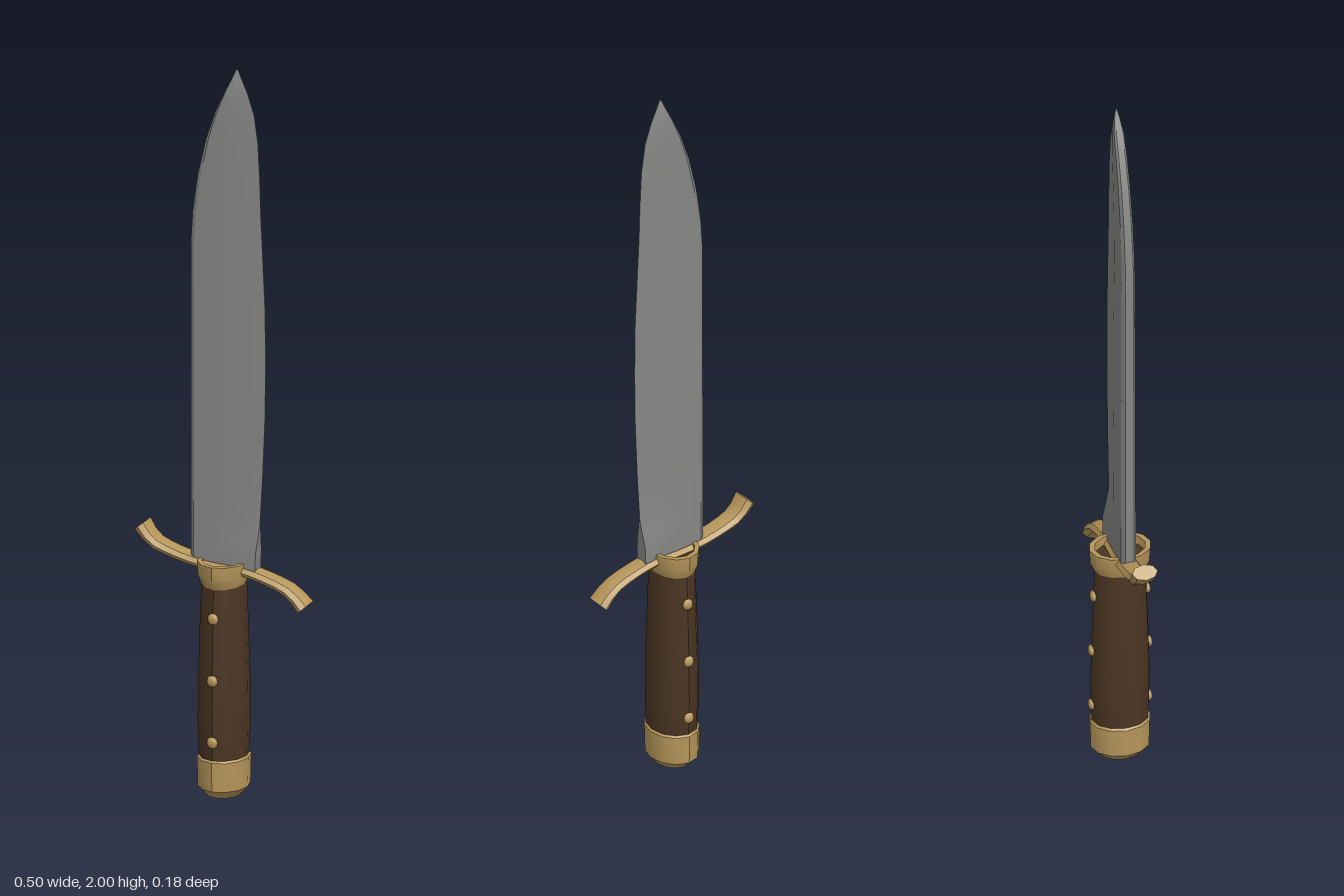
import * as THREE from 'three';
import { toCreasedNormals } from 'three/addons/utils/BufferGeometryUtils.js';

const steel = new THREE.MeshStandardMaterial({ color: 0x868685 });
steel.name = 'steel';
const brass = new THREE.MeshStandardMaterial({ color: 0xb6965a });
brass.name = 'brass';
const wood = new THREE.MeshStandardMaterial({ color: 0x4a3522 });
wood.name = 'dark wood';

// Skin a list of equal-length rings and cap both ends
function loft(rings, crease) {
  const n = rings[0].length, last = (rings.length - 1) * n, index = [];
  for (let i = 0; i < rings.length - 1; i++) {
    for (let j = 0; j < n; j++) {
      const a = i * n + j, b = i * n + (j + 1) % n;
      index.push(a, b, b + n, a, b + n, a + n);
    }
  }
  for (let j = 1; j < n - 1; j++) {
    index.push(0, j + 1, j, last, last + j, last + j + 1);
  }
  const g = new THREE.BufferGeometry();
  g.setAttribute('position', new THREE.Float32BufferAttribute(rings.flat(2), 3));
  g.setIndex(index);
  return toCreasedNormals(g, crease);
}

// Turned profile flattened into an oval, longer along z
function oval(profile, stretch) {
  const g = new THREE.LatheGeometry(profile.map(p => new THREE.Vector2(...p)), 12);
  g.scale(1, 1, stretch);
  return toCreasedNormals(g, 0.6);
}

function add(group, name, geometry, material) {
  const mesh = new THREE.Mesh(geometry, material);
  mesh.name = name;
  group.add(mesh);
  return mesh;
}

export function createModel() {
  const group = new THREE.Group();
  group.name = 'knife';

  // Blade rows: y, spine x, cutting edge x, half thickness, edge half thickness
  const rows = [
    [0.62, -0.09, 0.096, 0.02, 0.02],
    [0.68, -0.09, 0.098, 0.02, 0.019],
    [0.72, -0.09, 0.101, 0.02, 0.009],
    [0.76, -0.09, 0.103, 0.02, 0.001],
    [0.9, -0.09, 0.111, 0.02, 0.001],
    [1.05, -0.09, 0.117, 0.02, 0.001],
    [1.2, -0.09, 0.119, 0.019, 0.001],
    [1.35, -0.09, 0.117, 0.019, 0.001],
    [1.52, -0.09, 0.109, 0.018, 0.001],
    [1.6, -0.085, 0.105, 0.018, 0.001],
    [1.7, -0.071, 0.102, 0.017, 0.001],
    [1.8, -0.048, 0.097, 0.016, 0.001],
    [1.88, -0.021, 0.086, 0.015, 0.001],
    [1.94, 0.006, 0.066, 0.013, 0.001],
    [1.98, 0.026, 0.048, 0.007, 0.001],
    [2.0, 0.034, 0.04, 0.002, 0.001],
  ];
  const bladeRings = rows.map(([y, xs, xe, t, te]) => {
    const chamfer = xs + (xe - xs) * 0.06, bevel = xs + (xe - xs) * 0.42;
    const side = [[xs, t * 0.6], [chamfer, t], [bevel, t * 0.97], [xe, te]];
    return [
      ...side.map(([x, z]) => [x, y, z]),
      ...side.reverse().map(([x, z]) => [x, y, -z]),
    ];
  });
  add(group, 'blade', loft(bladeRings, 0.4), steel);

  // S-shaped crossguard with flared ends
  const path = new THREE.CatmullRomCurve3([
    [-0.233, 0.712], [-0.2, 0.672], [-0.13, 0.645], [-0.06, 0.63], [0, 0.625],
    [0.06, 0.622], [0.13, 0.606], [0.195, 0.58], [0.233, 0.542],
  ].map(([x, y]) => new THREE.Vector3(x, y, 0)));
  const guardRings = [];
  for (let i = 0; i <= 16; i++) {
    const u = i / 16, p = path.getPointAt(u), d = path.getTangentAt(u);
    const flare = Math.abs(2 * u - 1) ** 4;
    const thick = 0.016 + 0.006 * flare, wide = 0.03 + 0.005 * flare;
    const ring = [];
    for (let j = 0; j < 8; j++) {
      const a = j * Math.PI / 4, n = Math.cos(a) * thick;
      ring.push([p.x - d.y * n, p.y + d.x * n, Math.sin(a) * wide]);
    }
    guardRings.push(ring);
  }
  add(group, 'crossguard', loft(guardRings, 0.6), brass);

  // Open collar around the top of the grip
  add(group, 'collar', oval([
    [0.055, 0.575], [0.066, 0.605], [0.068, 0.645], [0.056, 0.645], [0.055, 0.6],
  ], 1.23), brass);

  // Grip, swelling towards the pommel
  add(group, 'grip', oval([
    [0.064, 0.1], [0.067, 0.2], [0.066, 0.32], [0.062, 0.46], [0.058, 0.58],
    [0.056, 0.62], [0, 0.62],
  ], 1.2), wood);

  // Pommel cap
  add(group, 'pommel', oval([
    [0, 0], [0.045, 0], [0.067, 0.025], [0.069, 0.105], [0.063, 0.112], [0, 0.112],
  ], 1.19), brass);

  // Three rivets on each face of the grip
  const rivet = new THREE.SphereGeometry(0.016, 8, 6);
  rivet.scale(1, 1, 0.6);
  for (const side of [1, -1]) {
    for (const [y, z] of [[0.16, 0.078], [0.33, 0.078], [0.5, 0.073]]) {
      add(group, 'rivet', rivet, brass).position.set(0, y, z * side);
    }
  }
  return group;
}
